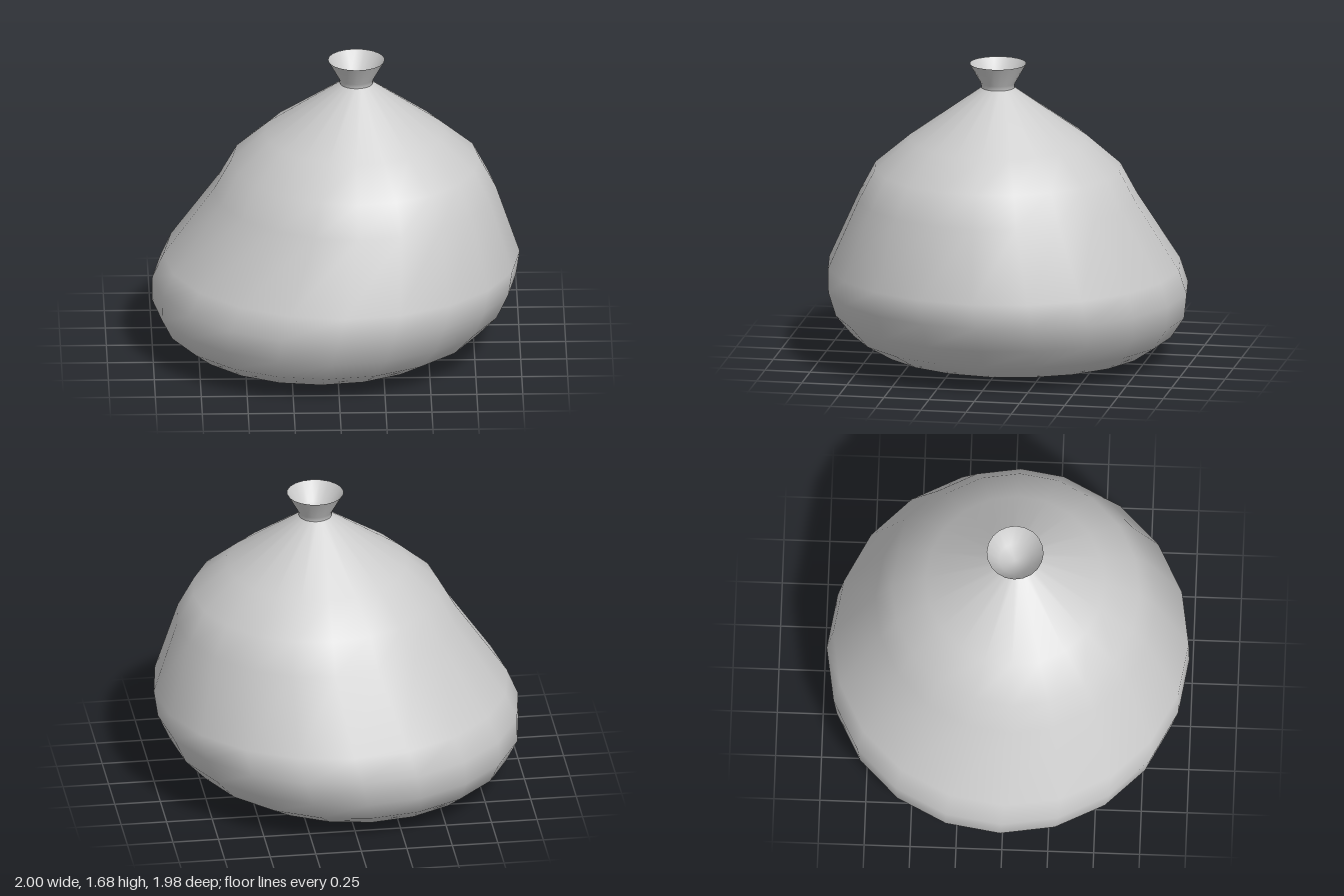
import * as THREE from 'three';
import { mergeVertices } from 'three/addons/utils/BufferGeometryUtils.js';

const SIDES = 20;

// Skin level rings, each [y, minX, maxX, minZ, maxZ], into one smooth surface.
function skinRings(rings) {
  const positions = [], index = [];
  rings.forEach(([y, x0, x1, z0, z1], r) => {
    for (let i = 0; i < SIDES; i++) {
      const a = (i / SIDES) * Math.PI * 2;
      positions.push(
        (x0 + x1) / 2 + Math.cos(a) * (x1 - x0) / 2,
        y,
        (z0 + z1) / 2 + Math.sin(a) * (z1 - z0) / 2);
      if (r === rings.length - 1) continue;
      const j = (i + 1) % SIDES;
      const p = r * SIDES + i, q = r * SIDES + j;
      index.push(p, p + SIDES, q, q, p + SIDES, q + SIDES);
    }
  });
  const geometry = new THREE.BufferGeometry();
  geometry.setAttribute('position', new THREE.Float32BufferAttribute(positions, 3));
  geometry.setIndex(index);
  const merged = mergeVertices(geometry, 1e-5); // joins the poles
  merged.computeVertexNormals();
  return merged;
}

// Round ring about the tied neck's axis.
const NECK = { x: 0.11, z: 0.032 };
const neckRing = (y, r) => [y, NECK.x - r, NECK.x + r, NECK.z - r, NECK.z + r];

export function createModel() {
  const group = new THREE.Group();
  group.name = 'tiedSack';
  const material = new THREE.MeshStandardMaterial({ color: 0xcccccc, side: THREE.DoubleSide });
  const add = (name, rings) => {
    const mesh = new THREE.Mesh(skinRings(rings), material);
    mesh.name = name;
    group.add(mesh);
  };

  // Slumped, lopsided bag from the underside up to the tie
  add('sackBody', [
    [0.00, -0.13, -0.13, -0.03, -0.03],
    [0.05, -0.83, 0.64, -0.76, 0.72],
    [0.14, -0.94, 0.80, -0.89, 0.86],
    [0.26, -1.00, 0.915, -0.97, 0.95],
    [0.40, -1.00, 0.98, -0.99, 0.985],
    [0.54, -0.94, 1.00, -0.955, 0.98],
    [0.93, -0.665, 0.87, -0.73, 0.80],
    [1.10, -0.57, 0.78, -0.64, 0.71],
    [1.26, -0.39, 0.59, -0.455, 0.52],
    neckRing(1.545, 0.09),
  ]);

  // Flared mouth above the tie
  add('neckOuter', [neckRing(1.545, 0.09), neckRing(1.57, 0.093), neckRing(1.68, 0.155)]);

  // Hollow inside the mouth
  add('neckInner', [neckRing(1.68, 0.155), neckRing(1.58, 0.088), neckRing(1.555, 0)]);

  return group;
}
